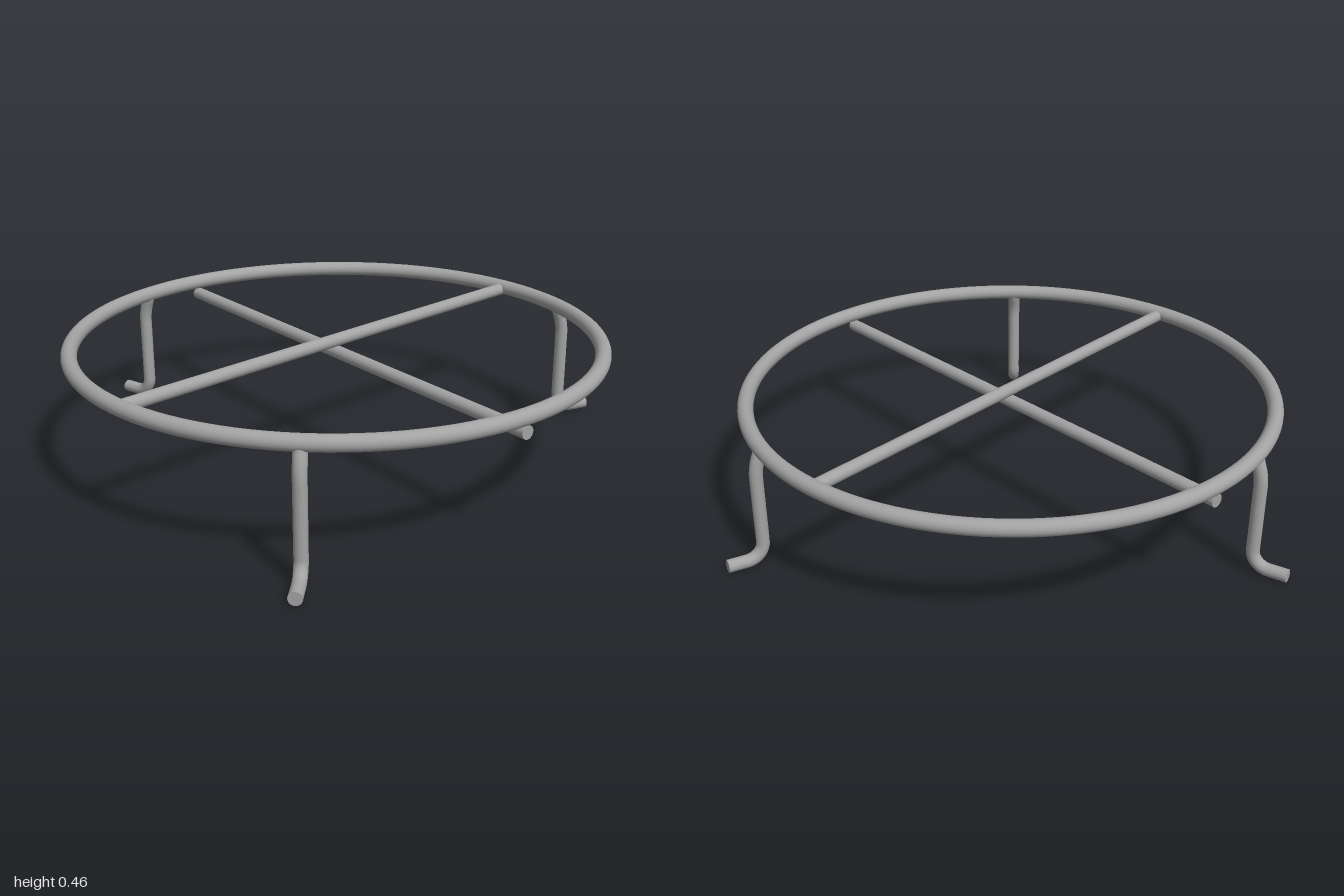
import * as THREE from 'three';

const CX = -0.06;      // ring centre along x
const RING_Y = 0.434;  // height of the ring's centreline
const ROD = 0.0225;    // radius of the thin rods

export function createModel() {
  const group = new THREE.Group();
  const steel = new THREE.MeshStandardMaterial({ color: 0xa3a3a3 });

  const add = (parent, name, geometry) => {
    const mesh = new THREE.Mesh(geometry, steel);
    mesh.name = name;
    parent.add(mesh);
    return mesh;
  };

  // Top ring
  const ring = add(group, 'topRing', new THREE.TorusGeometry(0.912, 0.027, 24, 128));
  ring.rotation.x = Math.PI / 2;
  ring.position.set(CX, RING_Y, 0);

  // Crossed bars: the lower runs under the ring, the upper rests on it and meets the ring
  const bar = (name, halfLength, y, angle) => {
    const geometry = new THREE.CylinderGeometry(ROD, ROD, halfLength * 2, 24);
    geometry.rotateZ(Math.PI / 2);
    const mesh = add(group, name, geometry);
    mesh.position.set(CX, y, 0);
    mesh.rotation.y = THREE.MathUtils.degToRad(angle);
  };
  bar('lowerCrossBar', 0.92, 0.384, -76);
  bar('upperCrossBar', 0.9, 0.428, 20);

  // Leg path, drawn outward along +x: lean out of the ring, drop, turn into the foot
  const v = (x, y) => new THREE.Vector3(x, y, 0);
  const legX = 0.934, footX = 1.06, bend = 0.06, k = bend * 0.448;
  const path = new THREE.CurvePath();
  path.add(new THREE.LineCurve3(v(0.908, RING_Y), v(0.919, 0.4)));
  path.add(new THREE.QuadraticBezierCurve3(v(0.919, 0.4), v(legX, 0.36), v(legX, 0.32)));
  path.add(new THREE.LineCurve3(v(legX, 0.32), v(legX, ROD + bend)));
  path.add(new THREE.CubicBezierCurve3(
    v(legX, ROD + bend), v(legX, ROD + k), v(legX + k, ROD), v(legX + bend, ROD)));
  path.add(new THREE.LineCurve3(v(legX + bend, ROD), v(footX, ROD)));
  const legGeometry = new THREE.TubeGeometry(path, 72, ROD, 20, false);
  const capGeometry = new THREE.CircleGeometry(ROD, 20);
  capGeometry.rotateY(Math.PI / 2);
  capGeometry.translate(footX, ROD, 0);

  // Three legs spaced evenly around the ring
  ['leftLeg', 'backRightLeg', 'frontRightLeg'].forEach((name, i) => {
    const leg = new THREE.Group();
    leg.name = name;
    add(leg, 'bentRod', legGeometry);
    add(leg, 'footEnd', capGeometry);
    leg.position.x = CX;
    leg.rotation.y = (i * Math.PI * 2) / 3;
    group.add(leg);
  });

  return group;
}
